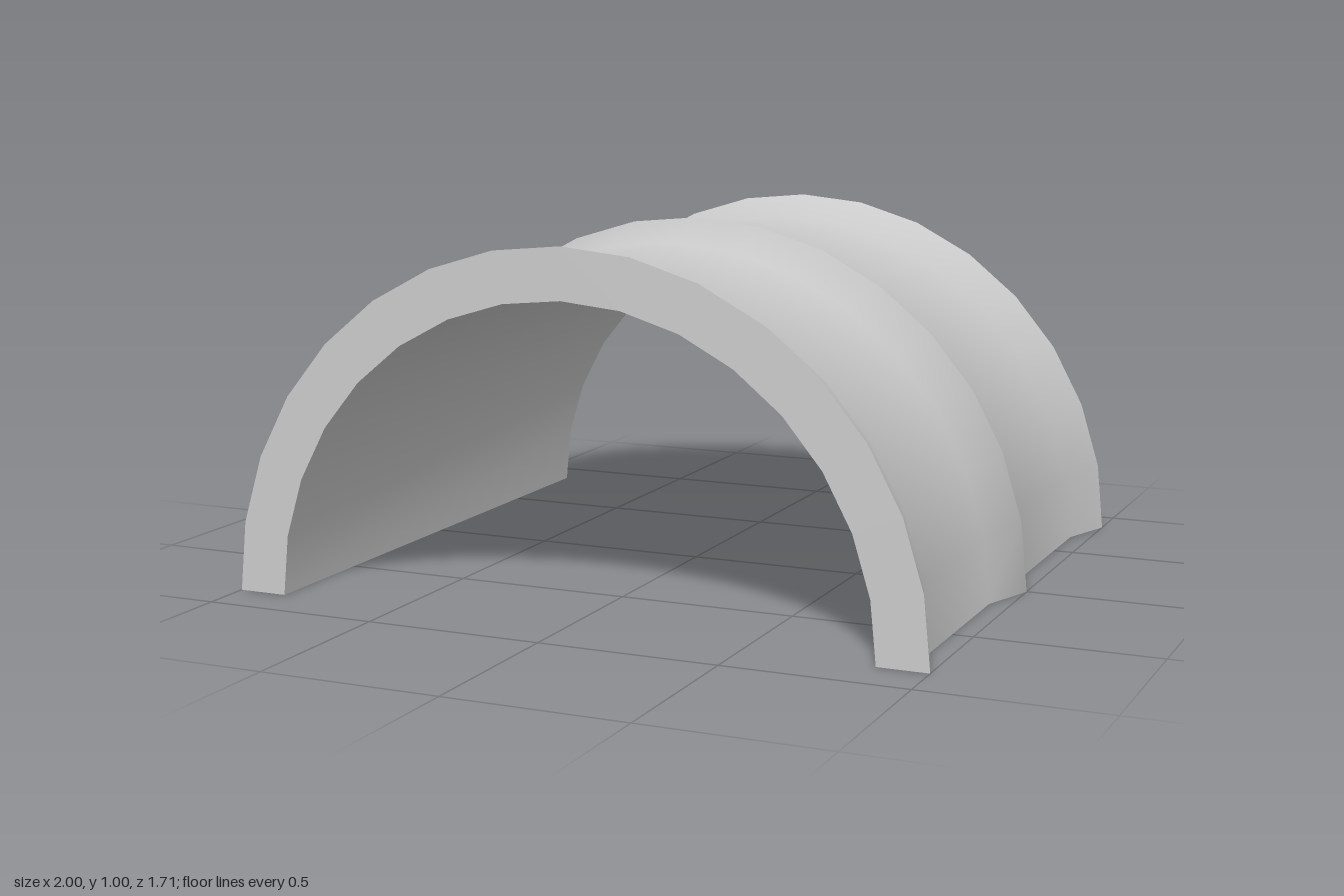
import * as THREE from 'three';
import { toCreasedNormals } from 'three/addons/utils/BufferGeometryUtils.js';

const HALF = 0.857;   // half length along z
const INNER = 0.86;   // bore radius
const GROOVE = 0.943; // outer radius between the ridges
const SEGMENTS = 16;

// Closed wall section (radius, z): ridged outside, straight bore
const section = [
  [INNER, -HALF], [1, -HALF], [GROOVE, -0.69], [GROOVE, -0.17], [1, 0],
  [GROOVE, 0.17], [GROOVE, 0.69], [1, HALF], [INNER, HALF],
].map(([r, z]) => new THREE.Vector2(r, z));

export function createModel() {
  const group = new THREE.Group();
  group.name = 'ridgedHalfPipe';
  const material = new THREE.MeshStandardMaterial({ color: 0xcccccc });

  // Half-round shell swept from one foot to the other
  const lathe = new THREE.LatheGeometry([...section, section[0]], SEGMENTS, Math.PI / 2, Math.PI);
  lathe.rotateX(Math.PI / 2);
  const shell = new THREE.Mesh(toCreasedNormals(lathe, 0.8), material);
  shell.name = 'archShell';
  group.add(shell);

  // Flat feet closing the two cut edges
  for (const side of [1, -1]) {
    const shape = new THREE.Shape(section.map((p) => new THREE.Vector2(side * p.x, p.y)));
    const foot = new THREE.Mesh(new THREE.ShapeGeometry(shape).rotateX(Math.PI / 2), material);
    foot.name = side > 0 ? 'leftFoot' : 'rightFoot';
    group.add(foot);
  }
  return group;
}
